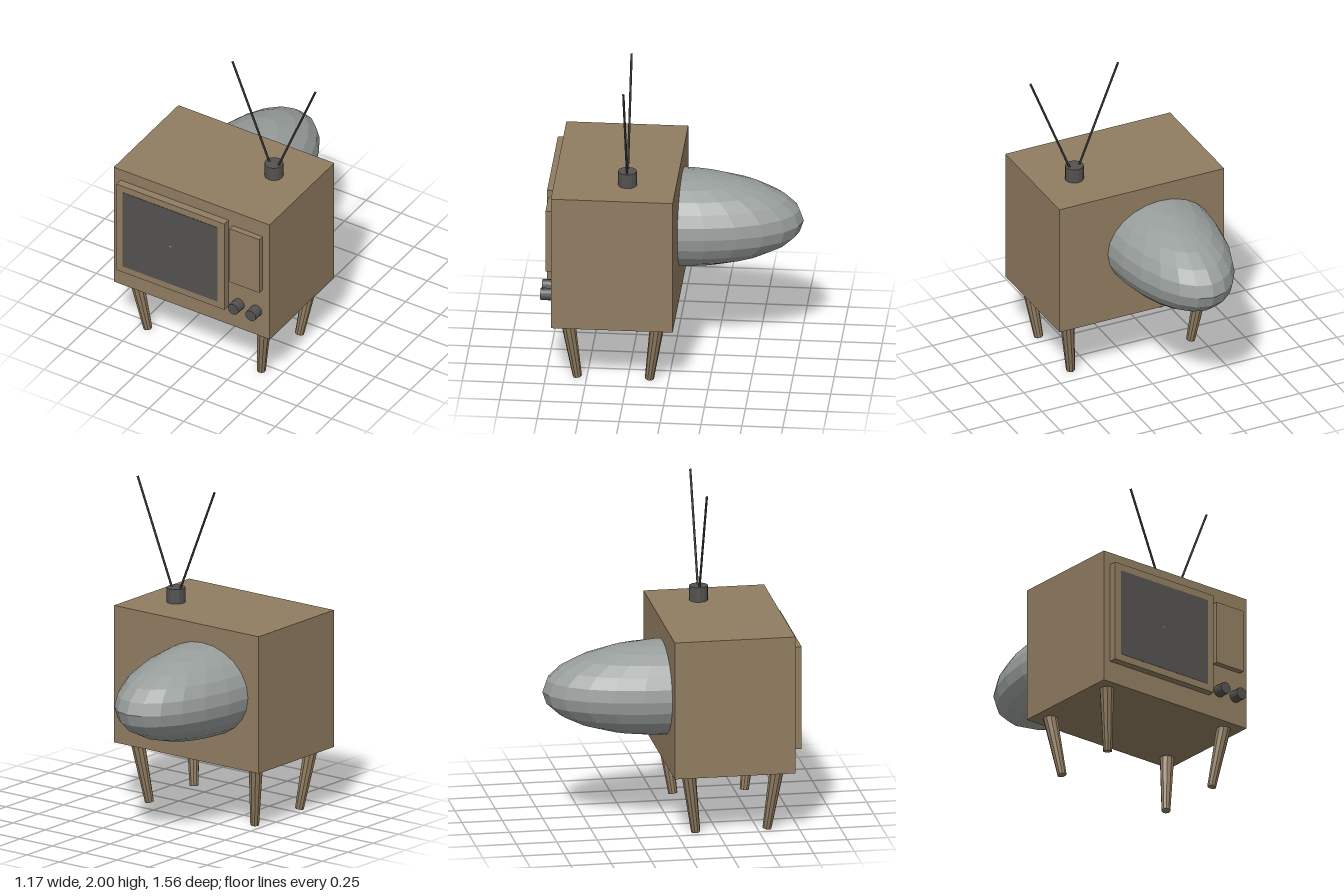
import * as THREE from 'three';

const mat = (name, color) => {
  const m = new THREE.MeshStandardMaterial({ color, flatShading: true });
  m.name = name;
  return m;
};

export function createModel() {
  const wood = mat('brown wood', 0x917d61);
  const dark = mat('dark plastic', 0x545250);
  const glass = mat('grey tube', 0x989e9c);
  const model = new THREE.Group();
  model.name = 'television';

  const add = (name, geometry, material) => {
    const mesh = new THREE.Mesh(geometry, material);
    mesh.name = name;
    model.add(mesh);
    return mesh;
  };

  // Box given by its lower and upper corners
  const box = (name, [x0, y0, z0], [x1, y1, z1], material) =>
    add(name, new THREE.BoxGeometry(x1 - x0, y1 - y0, z1 - z0), material)
      .position.set((x0 + x1) / 2, (y0 + y1) / 2, (z0 + z1) / 2);

  // Tapered rod running between two points
  const rod = (name, from, to, r0, r1, sides, material) => {
    const a = new THREE.Vector3(...from), b = new THREE.Vector3(...to);
    const dir = b.clone().sub(a);
    const mesh = add(name, new THREE.CylinderGeometry(r1, r0, dir.length(), sides), material);
    mesh.position.copy(a).add(b).multiplyScalar(0.5);
    mesh.quaternion.setFromUnitVectors(new THREE.Vector3(0, 1, 0), dir.normalize());
  };

  // Cabinet with raised front pieces
  box('cabinet', [-0.59, 0.387, -0.037], [0.527, 1.254, 0.707], wood);
  box('screenFrame', [-0.54, 0.525, 0.70], [0.232, 1.175, 0.755], wood);
  box('screen', [-0.495, 0.57, 0.752], [0.185, 1.13, 0.757], dark);
  box('speakerPanel', [0.264, 0.742, 0.70], [0.476, 1.146, 0.744], wood);

  // Control knobs
  for (const x of [0.309, 0.434])
    rod('knob', [x, 0.572, 0.70], [x, 0.572, 0.777], 0.038, 0.038, 12, dark);

  // Picture tube bulging from the back
  const tube = add('pictureTube', new THREE.SphereGeometry(1, 24, 12), glass);
  tube.scale.set(0.355, 0.29, 0.77);
  tube.position.set(-0.155, 0.85, -0.01);

  // Legs leaning inward toward the floor
  for (const [topX, footX] of [[-0.49, -0.439], [0.427, 0.375]])
    for (const [topZ, footZ] of [[0.612, 0.558], [0.064, 0.118]])
      rod('leg', [footX, 0.004, footZ], [topX, 0.4, topZ], 0.028, 0.045, 10, wood);

  // Aerial base and its two rods
  rod('aerialBase', [0.28, 1.25, 0.26], [0.28, 1.346, 0.26], 0.058, 0.058, 12, dark);
  for (const s of [-1, 1])
    rod('aerialRod', [0.28 + s * 0.012, 1.29, 0.26], [0.28 + s * 0.297, 1.997, 0.26], 0.007, 0.007, 8, dark);

  return model;
}
